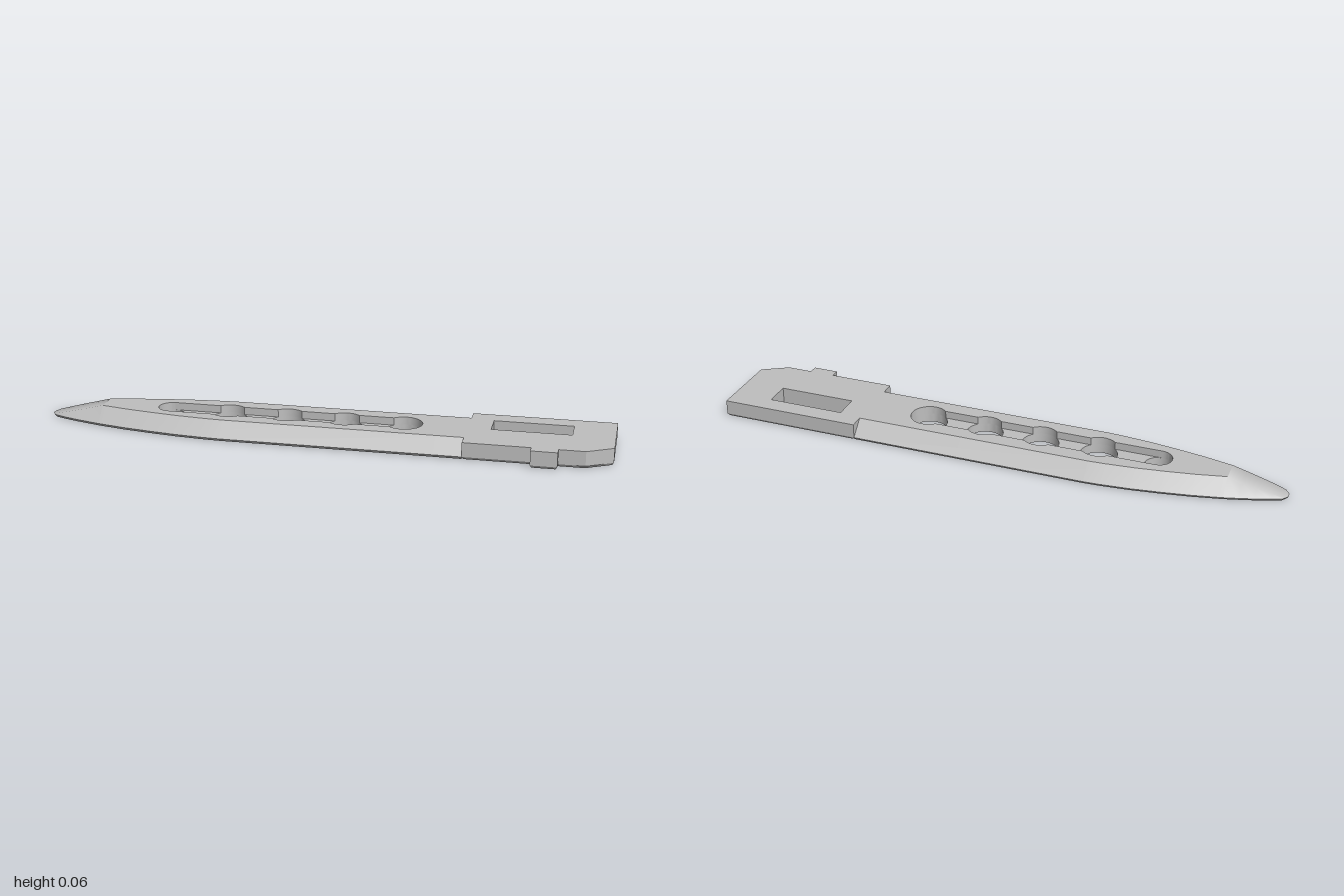
import * as THREE from 'three';
import { toCreasedNormals } from 'three/addons/utils/BufferGeometryUtils.js';

// Plan coordinates are [x, s] with s = -z; rings run counter-clockwise seen from above.
const H = 0.06, RIM = 0.009, FLOOR = 0.033, MID = 0.016;

// Surface skinned through rings of [x, y, s] points
function loft(rings, closed = true, crease = 0.5) {
  const n = rings[0].length, pos = [], idx = [];
  rings.forEach(r => r.forEach(([x, y, s]) => pos.push(x, y, -s)));
  for (let j = 0; j < rings.length - 1; j++) {
    for (let i = 0; i < (closed ? n : n - 1); i++) {
      const k = (i + 1) % n, a = j * n + i, b = j * n + k;
      idx.push(a, b, b + n, a, b + n, a + n);
    }
  }
  const g = new THREE.BufferGeometry();
  g.setAttribute('position', new THREE.Float32BufferAttribute(pos, 3));
  g.setIndex(idx);
  return toCreasedNormals(g, crease);
}

const at = (ring, y) => ring.map(([x, s]) => [x, y, s]);
const wall = (ring, y0, y1) => loft([at(ring, y0), at(ring, y1)]);
const holeWall = (ring, y0, y1) => wall([...ring].reverse(), y0, y1);
const vecs = ring => ring.map(([x, s]) => new THREE.Vector2(x, s));

// Flat horizontal face with holes, facing up or down
function face(ring, holes, y, down = false) {
  const shape = new THREE.Shape(vecs(ring));
  shape.holes = holes.map(h => new THREE.Path(vecs(h)));
  const g = new THREE.ShapeGeometry(shape);
  g.rotateX(-Math.PI / 2).translate(0, y, 0);
  if (down) {
    g.index.array.reverse();
    g.computeVertexNormals();
  }
  return g;
}

// Mitred inward offset of a closed ring
function inset(ring, d) {
  const n = ring.length;
  const normal = (p, q) => {
    const l = Math.hypot(q[0] - p[0], q[1] - p[1]);
    return [(p[1] - q[1]) / l, (q[0] - p[0]) / l];
  };
  return ring.map((p, i) => {
    const a = normal(ring[(i + n - 1) % n], p), b = normal(p, ring[(i + 1) % n]);
    const k = d / (1 + a[0] * b[0] + a[1] * b[1]);
    return [p[0] + (a[0] + b[0]) * k, p[1] + (a[1] + b[1]) * k];
  });
}

function arc(cx, r, from, to, steps = 24) {
  return Array.from({ length: steps + 1 }, (_, i) => {
    const t = from + (to - from) * i / steps;
    return [cx + r * Math.cos(t), MID + r * Math.sin(t)];
  });
}

export function createModel() {
  const group = new THREE.Group();
  const metal = new THREE.MeshStandardMaterial({ color: 0xbfbfbf });
  metal.name = 'grey metal';
  const add = (name, ...geos) => {
    const part = new THREE.Group();
    part.name = name;
    geos.forEach((g, i) => {
      const m = new THREE.Mesh(g, metal);
      m.name = `${name} surface ${i + 1}`;
      part.add(m);
    });
    group.add(part);
  };

  // Blade stations: x and half width at the cutting edge
  const stations = [[-1, 0.01], [-0.985, 0.03], [-0.95, 0.045], [-0.9, 0.062], [-0.85, 0.077],
    [-0.8, 0.091], [-0.7, 0.113], [-0.6, 0.13], [-0.5, 0.144], [-0.4, 0.153], [-0.34, 0.156], [0.505, 0.156]];
  const topY = x => RIM + (H - RIM) * Math.min(1, (x + 1) / 0.2);
  const topHalf = ([x, w]) => w - 0.052 * (topY(x) - RIM) / (H - RIM);
  const ringOf = (list, half) => [
    ...list.map(p => [p[0], MID - half(p)]),
    ...list.map(p => [p[0], MID + half(p)]).reverse()];
  const edge = ringOf(stations, p => p[1]);
  const main = stations.filter(p => p[0] >= -0.8), nose = stations.filter(p => p[0] <= -0.8);
  const crown = ringOf(main, topHalf);

  // Round holes and the channel that joins them
  const holes = [[-0.555, 0.047], [-0.345, 0.064], [-0.135, 0.064], [0.07, 0.064], [0.28, 0.064]];
  const PI = Math.PI, spread = r => Math.asin(Math.min(1, 0.047 / r));
  const circles = holes.map(([x, r]) => arc(x, r, 0, 2 * PI, 40).slice(0, -1));
  const a = spread(0.064);
  const lower = holes.slice(1, 4).flatMap(([x, r]) => arc(x, r, PI + a, 2 * PI - a, 10));
  const channel = [
    ...lower,
    ...arc(0.28, 0.064, PI + a, 3 * PI - a, 36),
    ...lower.map(([x, s]) => [x, 2 * MID - s]).reverse(),
    ...arc(-0.555, 0.047, PI / 2, 1.5 * PI)];
  const floors = holes.slice(1).map(([x, r], i) => {
    const [px, pr] = holes[i], b = spread(pr), c = spread(r);
    return face([...arc(x, r, PI + c, PI - c, 10), ...arc(px, pr, b, -b, 10)], [], FLOOR);
  });

  // Blade: underside, rounded lower rim, flat top and bevelled flanks
  const under = inset(edge, 0.006);
  const side = k => main.map(p => [[p[0], RIM, MID + k * p[1]], [p[0], H, MID + k * topHalf(p)]]);
  const low = side(-1), high = side(1).reverse();
  add('blade',
    face(under, circles, 0, true),
    loft([at(under, 0), at(edge, RIM)]),
    face(crown, [channel], H),
    ...[low, high].map(f => loft([f.map(p => p[0]), f.map(p => p[1])], false)));

  // Nose sloping down to the tip
  add('bladeTip', loft(nose.map(p => {
    const [x, w] = p, t = topHalf(p), y = topY(x);
    return [[x, RIM, MID + w], [x, y, MID + t], [x, y, MID - t], [x, RIM, MID - w]];
  }), false, 1.0));

  add('channelAndHoles', ...floors,
    holeWall(channel, FLOOR, H),
    ...circles.map(c => holeWall(c, 0, FLOOR)));

  // Tang with clipped corner, side tab and rectangular slot
  const tang = [[0.5, -0.14], [0.73, -0.14], [0.73, -0.172], [0.82, -0.172], [0.82, -0.14],
    [0.91, -0.14], [1, -0.088], [1, 0.172], [0.5, 0.172]];
  const slot = [[0.58, 0.015], [0.855, 0.015], [0.855, 0.107], [0.58, 0.107]];
  const tangUnder = inset(tang, 0.006);
  add('tang',
    face(tangUnder, [slot], 0, true),
    loft([at(tangUnder, 0), at(tang, RIM)]),
    wall(tang, RIM, H),
    face(tang, [slot], H),
    holeWall(slot, 0, H));

  return group;
}
